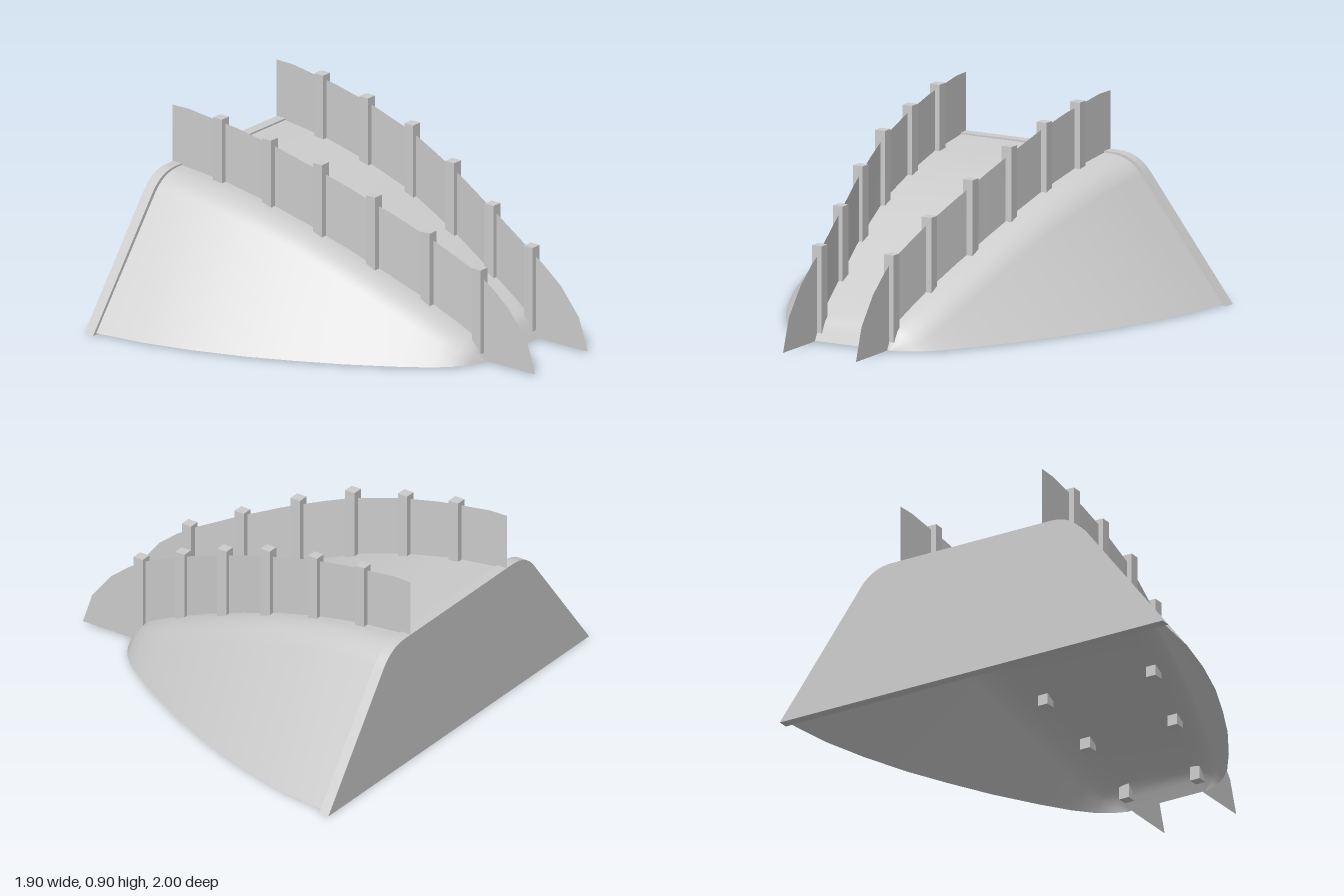
import * as THREE from 'three';

const BASE = 0.01, LEAN = 0.776; // ground edge height, inward lean of the side walls

// hull stations: x, crown height, half width at the ground
const HULL = [
  [-0.93, 0.63, 0.98], [-0.9, 0.627, 0.977], [-0.66, 0.6, 0.945], [-0.43, 0.552, 0.885],
  [-0.2, 0.487, 0.805], [0, 0.41, 0.715], [0.2, 0.325, 0.615], [0.4, 0.23, 0.495],
  [0.53, 0.162, 0.405], [0.6, 0.122, 0.34], [0.63, 0.095, 0.3], [0.65, 0.06, 0.268], [0.675, 0.012, 0.2],
];
// panel top edge and panel line in plan
const PANEL_TOP = [
  [-0.95, 0.9], [-0.86, 0.9], [-0.6, 0.865], [-0.4, 0.825], [-0.15, 0.755], [0, 0.7], [0.2, 0.62],
  [0.4, 0.53], [0.6, 0.428], [0.7, 0.365], [0.8, 0.285], [0.9, 0.16], [0.95, BASE],
];
const PANEL_Z = [
  [-0.95, 0.37], [-0.685, 0.36], [-0.42, 0.345], [-0.15, 0.325], [0.115, 0.282],
  [0.38, 0.228], [0.635, 0.185], [0.95, 0.187],
];
// posts: x and top height
const POSTS = [[-0.685, 0.9], [-0.42, 0.857], [-0.15, 0.797], [0.115, 0.692], [0.38, 0.567], [0.635, 0.44]];

function lookup(table, x) {
  if (x <= table[0][0]) return table[0][1];
  for (let i = 1; i < table.length; i++) {
    const [x0, y0] = table[i - 1], [x1, y1] = table[i];
    if (x <= x1) return y0 + ((y1 - y0) * (x - x0)) / (x1 - x0);
  }
  return BASE;
}

// half section from the ground edge over the rounded shoulder: [z, y]
function shoulder(w, h) {
  const rise = h - BASE, slant = rise * Math.hypot(1, LEAN);
  const t = Math.min(0.1, slant * 0.7), k = t / slant;
  const cz = w - rise * LEAN;
  const curve = new THREE.QuadraticBezierCurve(
    new THREE.Vector2(cz + k * rise * LEAN, h - k * rise),
    new THREE.Vector2(cz, h),
    new THREE.Vector2(cz - t, h));
  return [[w, BASE], ...curve.getPoints(8).map((p) => [p.x, p.y])];
}

// surface through equal-length rows of [x, y, z]
function skin(rows) {
  const n = rows[0].length, index = [];
  for (let i = 0; i < rows.length - 1; i++) {
    for (let j = 0; j < n - 1; j++) {
      const a = i * n + j, b = a + n;
      index.push(a, b, a + 1, b, b + 1, a + 1);
    }
  }
  const geo = new THREE.BufferGeometry();
  geo.setAttribute('position', new THREE.Float32BufferAttribute(rows.flat(2), 3));
  geo.setIndex(index);
  geo.computeVertexNormals();
  return geo;
}

export function createModel() {
  const group = new THREE.Group();
  const solid = new THREE.MeshStandardMaterial({ color: 0xcccccc });
  const thin = new THREE.MeshStandardMaterial({ color: 0xcccccc, side: THREE.DoubleSide });
  const add = (name, geo, mat) => {
    const mesh = new THREE.Mesh(geo, mat);
    mesh.name = name;
    group.add(mesh);
    return mesh;
  };

  // open-bottomed hull shell
  add('hullShell', skin(HULL.map(([x, h, w]) => {
    const half = shoulder(w, h);
    const other = half.map(([z, y]) => [-z, y]).reverse();
    return [...half, ...other].map(([z, y]) => [x, y, z]);
  })), thin);

  // end plate, slightly larger than the shell
  const half = shoulder(1, 0.635);
  const outline = [...half, ...half.map(([z, y]) => [-z, y]).reverse()];
  const shape = new THREE.Shape(outline.map(([z, y]) => new THREE.Vector2(z, y === BASE ? 0.003 : y)));
  const plate = new THREE.ExtrudeGeometry(shape, { depth: 0.05, bevelEnabled: false });
  plate.rotateY(Math.PI / 2).translate(-0.95, 0, 0);
  add('endPlate', plate, solid);

  // the two curved panels with their posts
  const stations = [...new Set([...HULL, ...PANEL_TOP, ...PANEL_Z].map((p) => p[0]))].sort((a, b) => a - b);
  for (const [side, s] of [['left', 1], ['right', -1]]) {
    add(side + 'Panel', skin(stations.map((x) => {
      const z = s * lookup(PANEL_Z, x);
      const ends = [[x, lookup(HULL, x), z], [x, lookup(PANEL_TOP, x), z]];
      return s > 0 ? ends : ends.reverse();
    })), thin);
    POSTS.forEach(([x, top], i) => {
      const bottom = lookup(HULL, x) - 0.04;
      const post = add(side + 'Post' + (i + 1), new THREE.BoxGeometry(0.05, top - bottom, 0.05), solid);
      post.position.set(x, (top + bottom) / 2, s * lookup(PANEL_Z, x));
    });
  }
  return group;
}
